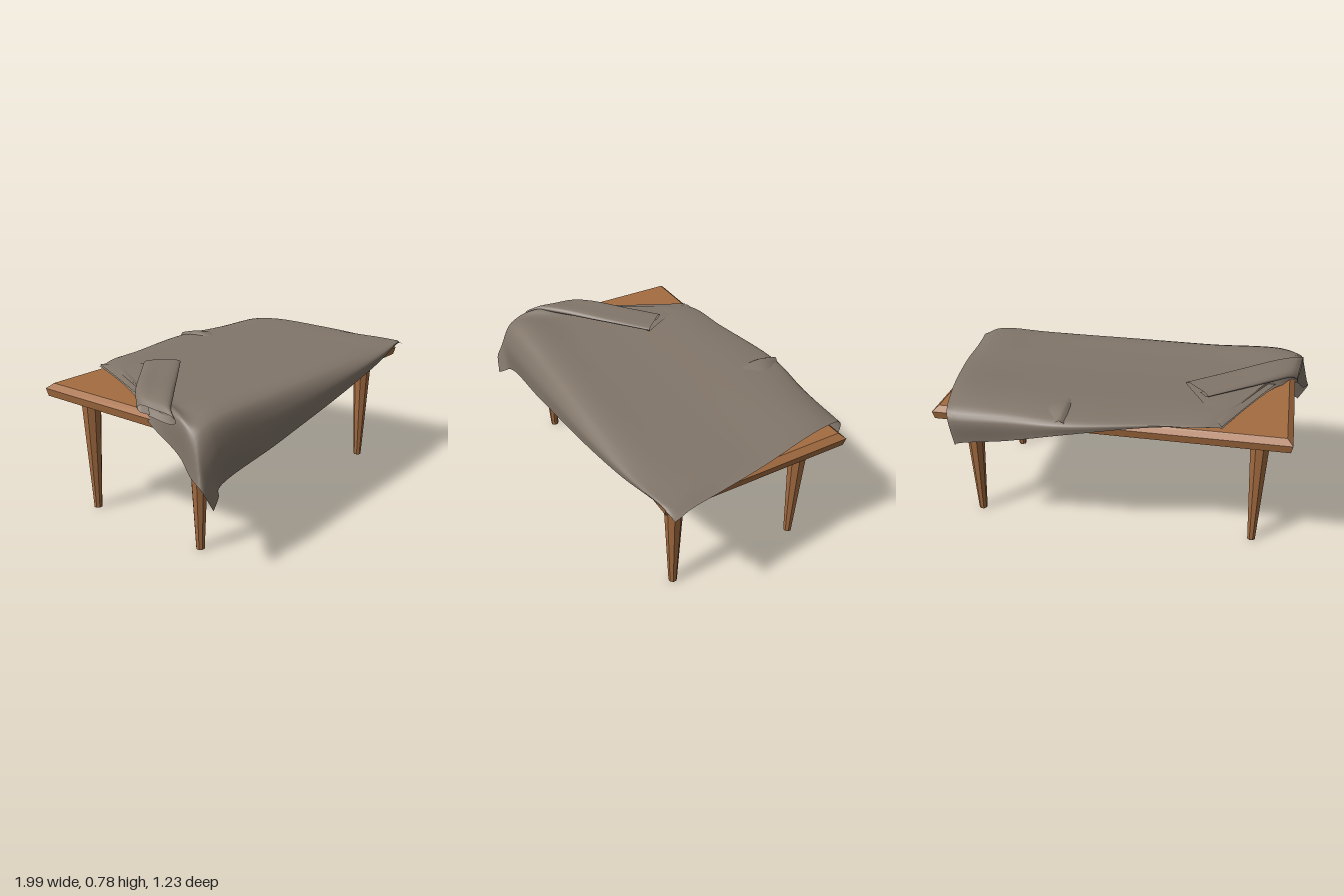
import * as THREE from 'three';

const curveThrough = (pts) => new THREE.CatmullRomCurve3(pts);

// Smooth sheet lofted through rows of [x, y, z] points
function loft(rows, nu, nv) {
  const curves = rows.map((r) => curveThrough(r.map((p) => new THREE.Vector3(...p))));
  const pos = [], idx = [];
  for (let j = 0; j <= nv; j++) {
    const across = curveThrough(curves.map((c) => c.getPoint(j / nv)));
    for (let i = 0; i <= nu; i++) pos.push(...across.getPoint(i / nu).toArray());
  }
  for (let j = 0; j < nv; j++) {
    for (let i = 0; i < nu; i++) {
      const a = j * (nu + 1) + i, b = a + 1, c = a + nu + 1, d = c + 1;
      idx.push(a, b, c, b, d, c);
    }
  }
  const g = new THREE.BufferGeometry();
  g.setAttribute('position', new THREE.Float32BufferAttribute(pos, 3));
  g.setIndex(idx);
  g.computeVertexNormals();
  return g;
}

// Box whose top and bottom faces are inset to make chamfers
function chamferSlab(w, h, d, topInset, bottomInset) {
  const g = new THREE.BoxGeometry(w, h, d);
  const p = g.attributes.position;
  for (let i = 0; i < p.count; i++) {
    const inset = p.getY(i) > 0 ? topInset : bottomInset;
    p.setX(i, p.getX(i) - Math.sign(p.getX(i)) * inset);
    p.setZ(i, p.getZ(i) - Math.sign(p.getZ(i)) * inset);
  }
  g.computeVertexNormals();
  return g;
}

// One strip of cloth from the front hem, over the table, to the back hem
function clothStrip(frontX, frontHem, frontZ, backX, backHem, backZ) {
  const { lerp } = THREE.MathUtils;
  return [
    [frontX, frontHem, frontZ],
    [frontX, lerp(frontHem, 0.72, 0.6), frontZ],
    [frontX, 0.72, frontZ - 0.06],
    [lerp(frontX, backX, 0.25), 0.726, 0.25],
    [lerp(frontX, backX, 0.5), 0.728, 0],
    [lerp(frontX, backX, 0.9), 0.742, backZ + 0.14],
    [backX, lerp(backHem, 0.725, 0.8), backZ],
    [backX, backHem, backZ],
  ];
}

export function createModel() {
  const model = new THREE.Group();
  model.name = 'drapedTable';

  const wood = new THREE.MeshStandardMaterial({ color: 0xa46c41 });
  wood.name = 'warm wood';
  const cloth = new THREE.MeshStandardMaterial({ color: 0x82766a, side: THREE.DoubleSide });
  cloth.name = 'grey brown cloth';

  const add = (name, geometry, material, x = 0, y = 0, z = 0) => {
    const m = new THREE.Mesh(geometry, material);
    m.name = name;
    m.position.set(x, y, z);
    model.add(m);
  };

  // Table top: board with a chamfered upper edge
  add('tableTopBoard', chamferSlab(1.81, 0.04, 1.02, 0, 0.008), wood, 0, 0.655, -0.02);
  add('tableTopBevel', chamferSlab(1.81, 0.026, 1.02, 0.03, 0), wood, 0, 0.688, -0.02);

  // Four tapered, chamfered legs
  const k = 1 / Math.cos(Math.PI / 8);
  const legGeo = new THREE.CylinderGeometry(0.05 * k, 0.02 * k, 0.64, 8, 1, false, Math.PI / 8).toNonIndexed();
  legGeo.computeVertexNormals();
  for (const x of [-0.75, 0.75]) {
    for (const z of [-0.37, 0.355]) {
      add((z > 0 ? 'front' : 'back') + (x > 0 ? 'Left' : 'Right') + 'Leg', legGeo, wood, x, 0.32, z);
    }
  }

  // Main cloth: bunched corner and diagonal edge, plain strips, far edge
  const diagonalHem = [
    [-0.95, 0.36, 0.61], [-1.0, 0.47, 0.58], [-0.97, 0.49, 0.5], [-0.935, 0.56, 0.4],
    [-0.91, 0.66, 0.2], [-0.8, 0.712, 0.01], [-0.59, 0.715, -0.43], [-0.565, 0.717, -0.5],
  ];
  const diagonalShoulder = [
    [-0.89, 0.4, 0.59], [-0.955, 0.55, 0.56], [-0.945, 0.67, 0.5], [-0.925, 0.735, 0.4],
    [-0.87, 0.735, 0.18], [-0.77, 0.73, 0], [-0.58, 0.725, -0.42], [-0.55, 0.722, -0.5],
  ];
  const farEdge = [
    [0.99, 0.68, 0.49], [0.985, 0.685, 0.46], [0.97, 0.695, 0.4], [0.95, 0.702, 0.25],
    [0.92, 0.72, 0], [0.84, 0.735, -0.42], [0.805, 0.69, -0.575], [0.78, 0.515, -0.575],
  ];
  add('tablecloth', loft([
    diagonalHem,
    diagonalShoulder,
    clothStrip(-0.86, 0.42, 0.565, -0.5, 0.72, -0.507),
    clothStrip(-0.4, 0.49, 0.56, -0.25, 0.715, -0.54),
    clothStrip(0.2, 0.59, 0.56, 0.2, 0.66, -0.61),
    clothStrip(0.6, 0.66, 0.545, 0.5, 0.58, -0.585),
    clothStrip(0.9, 0.705, 0.508, 0.77, 0.53, -0.58),
    farEdge,
  ], 56, 42), cloth);

  // Folded-over roll: flattened loop from the corner to its open free end
  const roll = [
    [-0.945, 0.4, -0.915, 0.13, 0.74, 0.70],
    [-0.91, 0.34, -0.88, 0.09, 0.765, 0.73],
    [-0.8, 0.25, -0.8, 0.01, 0.778, 0.74],
    [-0.57, 0.065, -0.63, -0.13, 0.775, 0.745],
    [-0.34, -0.12, -0.47, -0.26, 0.773, 0.75],
  ].map(([fx, fz, bx, bz, top, low]) => {
    const at = (t, y) => [bx + (fx - bx) * t, y, bz + (fz - bz) * t];
    return [at(0.35, low + 0.008), at(0.06, low + 0.004), at(0, (top + low) / 2), at(0.1, top - 0.002),
      at(0.5, top), at(0.92, top - 0.003), at(1, (top + low) / 2), at(0.9, low), at(0.3, low)];
  });
  add('foldedRoll', loft(roll, 16, 32), cloth);

  // Turned-back triangle under the roll
  const turned = [
    [[-0.56, 0.726, -0.5], [-0.555, 0.73, -0.49], [-0.55, 0.73, -0.48]],
    [[-0.68, 0.73, -0.24], [-0.58, 0.742, -0.29], [-0.45, 0.745, -0.3]],
    [[-0.8, 0.733, 0.01], [-0.58, 0.748, -0.06], [-0.345, 0.75, -0.12]],
  ];
  add('turnedBackCorner', loft(turned, 8, 6), cloth);

  // Small pinched crease near the back edge
  const pinch = [
    [[0.19, 0.72, -0.6], [0.215, 0.735, -0.605], [0.235, 0.72, -0.6]],
    [[0.19, 0.742, -0.5], [0.215, 0.758, -0.5], [0.3, 0.742, -0.48]],
    [[0.2, 0.738, -0.38], [0.215, 0.745, -0.38], [0.27, 0.738, -0.36]],
  ];
  add('pinchedCrease', loft(pinch, 8, 6), cloth);

  return model;
}
